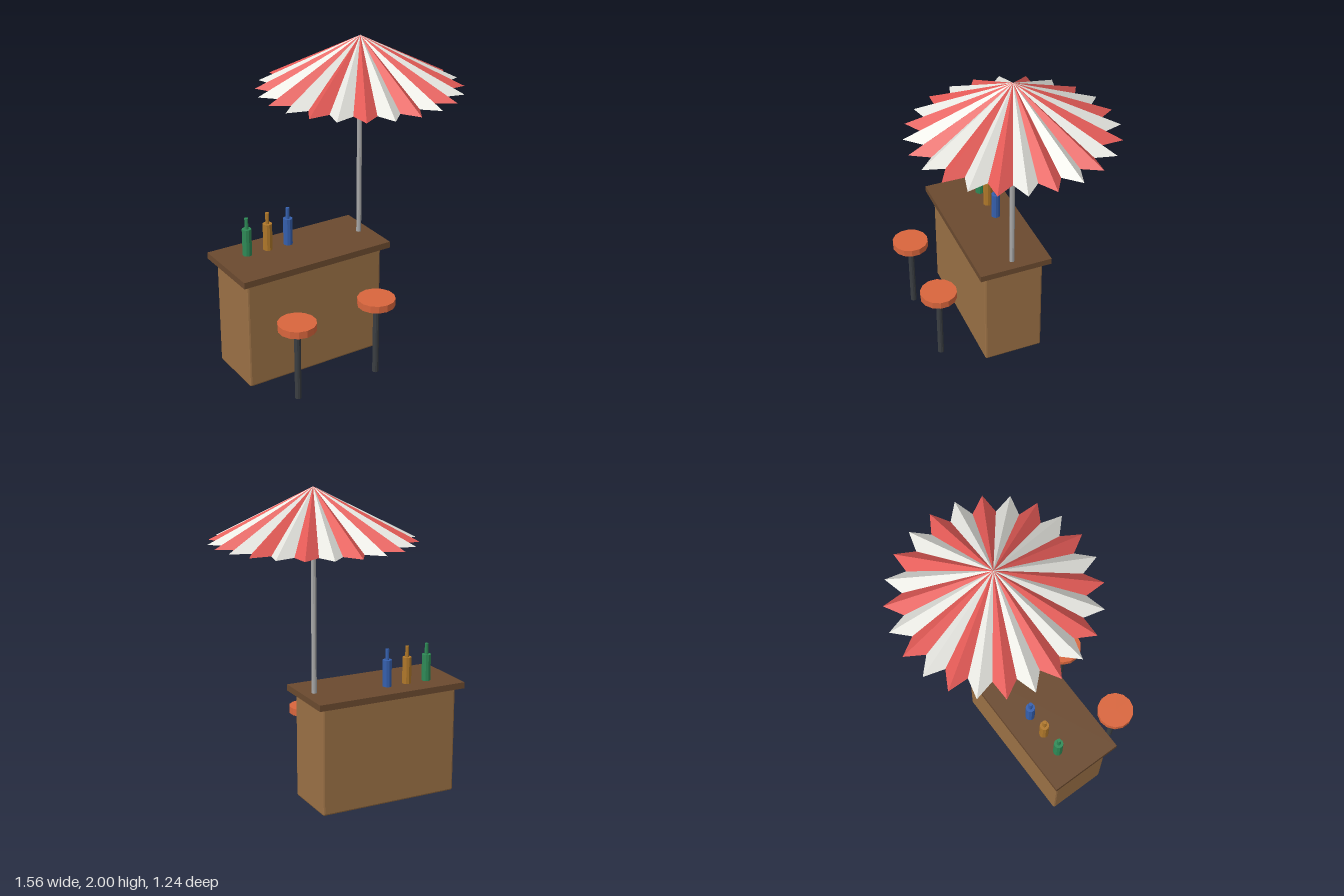
import * as THREE from 'three';
import { RoundedBoxGeometry } from 'three/addons/geometries/RoundedBoxGeometry.js';

const paint = (name, color) => {
  const m = new THREE.MeshStandardMaterial({ color, flatShading: true });
  m.name = name;
  return m;
};

export function createModel() {
  const model = new THREE.Group();
  model.name = 'beachBar';
  const red = paint('canopyRed', 0xe35a56);
  const white = paint('canopyWhite', 0xe6e6e0);
  const darkWood = paint('darkWood', 0x6b4a2f);
  const lightWood = paint('lightWood', 0x9a7045);
  const metal = paint('poleMetal', 0xa8a8a8);
  const darkMetal = paint('darkMetal', 0x3a3e42);
  const orange = paint('seatOrange', 0xd9663d);

  const add = (parent, name, geometry, material, x, y, z) => {
    const mesh = new THREE.Mesh(geometry, material);
    mesh.name = name;
    mesh.position.set(x, y, z);
    parent.add(mesh);
    return mesh;
  };
  // Upright cylinder from y0 to y1
  const post = (parent, name, r, y0, y1, sides, material, x, z) =>
    add(parent, name, new THREE.CylinderGeometry(r, r, y1 - y0, sides), material, x, (y0 + y1) / 2, z);

  // Counter: softly bevelled body and overhanging top
  add(model, 'counterBody', new RoundedBoxGeometry(0.93, 0.695, 0.385, 1, 0.012), lightWood, -0.275, 0.3525, 0);
  add(model, 'counterTop', new THREE.BoxGeometry(1.01, 0.04, 0.467), darkWood, -0.275, 0.72, 0);

  // Two bar stools
  for (const x of [-0.55, 0]) {
    const stool = new THREE.Group();
    stool.name = 'stool';
    model.add(stool);
    post(stool, 'stoolLeg', 0.02, 0, 0.466, 10, darkMetal, x, 0.43);
    post(stool, 'stoolSeat', 0.116, 0.465, 0.51, 14, orange, x, 0.43);
  }

  // Three bottles
  const glass = [['green', 0x2e8b57], ['amber', 0xb0782a], ['blue', 0x3560ae]];
  glass.forEach(([name, color], i) => {
    const bottle = new THREE.Group();
    bottle.name = name + 'Bottle';
    model.add(bottle);
    const material = paint(name + 'Glass', color);
    const x = -0.59 + i * 0.141;
    post(bottle, 'bottleBody', 0.029, 0.74, 0.91, 10, material, x, -0.08);
    post(bottle, 'bottleNeck', 0.012, 0.91, 0.98, 8, material, x, -0.08);
  });

  // Parasol: pole and a pleated canopy of 24 pointed panels
  const parasol = new THREE.Group();
  parasol.name = 'parasol';
  parasol.position.x = 0.155;
  model.add(parasol);
  post(parasol, 'pole', 0.016, 0.74, 1.68, 10, metal, 0, 0);

  const panels = 24, rim = 1.68, tipRadius = 0.622, valleyRadius = 0.515;
  const step = (Math.PI * 2) / panels;
  const at = (a, r) => [Math.cos(a) * r, rim, Math.sin(a) * r];
  const shell = { red: [], white: [] };
  const apex = [0, 2, 0], middle = [0, rim, 0];
  for (let i = 0; i < panels; i++) {
    const a = i * step;
    const tip = at(a, tipRadius);
    const v0 = at(a - step / 2, valleyRadius), v1 = at(a + step / 2, valleyRadius);
    const own = i % 2 ? shell.white : shell.red;
    own.push(...apex, ...tip, ...v0, ...apex, ...v1, ...tip); // sloping pleat
    own.push(...v0, ...tip, ...v1); // underside of the point
    shell.red.push(...middle, ...v0, ...v1); // flat underside
  }
  const canopyPart = (name, points, material) => {
    const g = new THREE.BufferGeometry();
    g.setAttribute('position', new THREE.Float32BufferAttribute(points, 3));
    g.computeVertexNormals();
    add(parasol, name, g, material, 0, 0, 0);
  };
  canopyPart('redPanels', shell.red, red);
  canopyPart('whitePanels', shell.white, white);
  return model;
}
